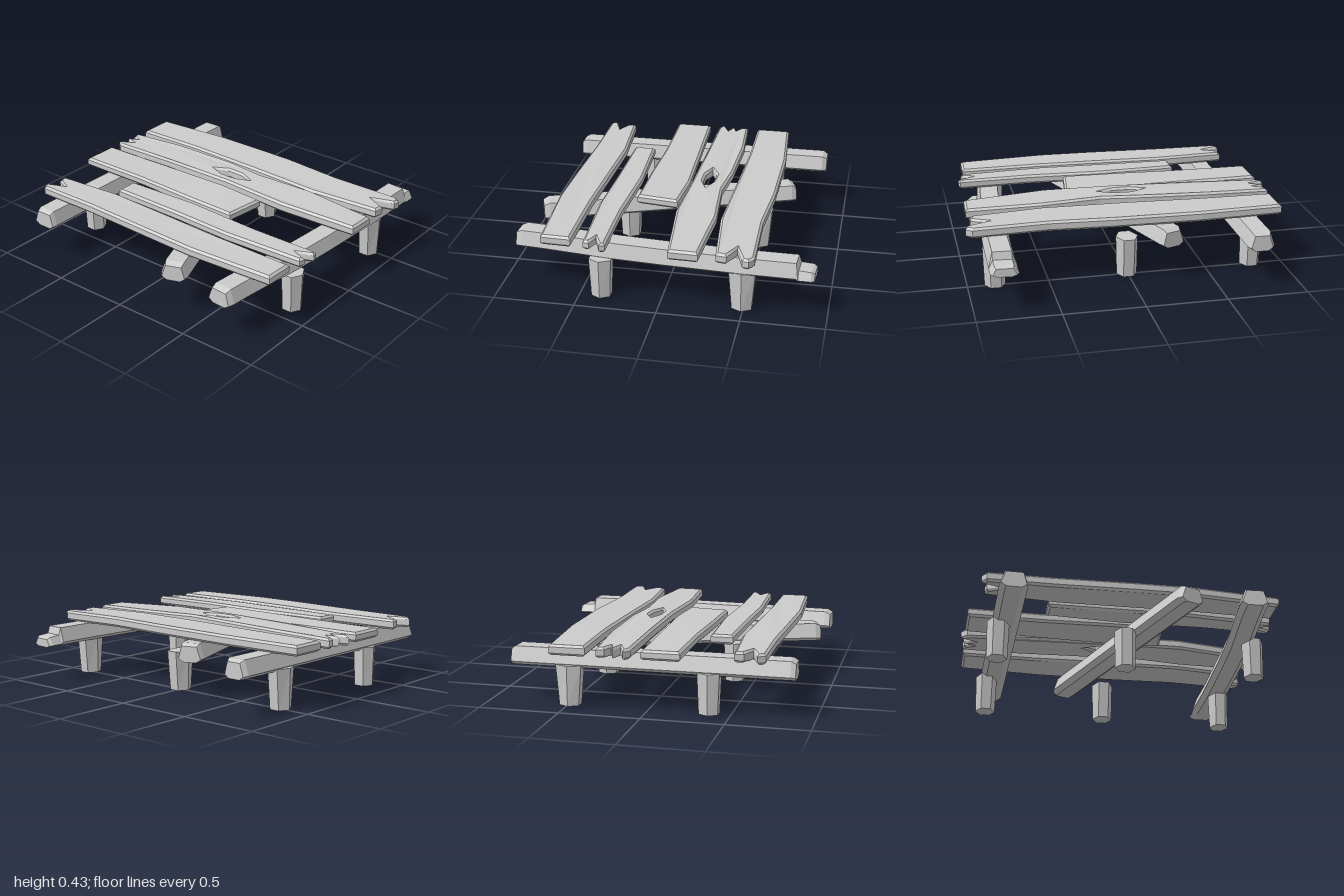
import * as THREE from 'three';

const material = new THREE.MeshStandardMaterial({ color: 0xcccccc, flatShading: true, side: THREE.DoubleSide });

// Plank: outline of [x, z] points, extruded upward with worn edges and a slight bow
function plank(name, outline, base, height, bow, hole) {
  const shape = new THREE.Shape(outline.map(([x, z]) => new THREE.Vector2(x, -z)));
  if (hole) shape.holes.push(new THREE.Path(hole.map(([x, z]) => new THREE.Vector2(x, -z))));
  const b = 0.014;
  const geo = new THREE.ExtrudeGeometry(shape, {
    depth: height - 2 * b, bevelEnabled: true, bevelThickness: b, bevelSize: b, bevelOffset: -b, bevelSegments: 1,
  });
  geo.rotateX(-Math.PI / 2).translate(0, base + b, 0);
  const p = geo.attributes.position;
  for (let i = 0; i < p.count; i++) {
    p.setY(i, p.getY(i) + bow * Math.cos(p.getX(i) * Math.PI / 2));
  }
  geo.computeVertexNormals();
  const mesh = new THREE.Mesh(geo, material);
  mesh.name = name;
  return mesh;
}

// Beam: chamfered section swept through rings of [x, z, width scale, height scale], back to front
const section = [[-0.05, 0], [0.05, 0], [0.085, 0.025], [0.06, 0.115], [-0.055, 0.115], [-0.085, 0.025]];
function beam(name, rings) {
  const first = rings[0], last = rings[rings.length - 1], n = section.length;
  const dir = new THREE.Vector2(last[0] - first[0], last[1] - first[1]).normalize();
  const pos = [], index = [];
  rings.forEach(([x, z, w = 1, h = 1], r) => {
    section.forEach(([u, v], i) => {
      pos.push(x + dir.y * u * w, 0.23 + v * h, z - dir.x * u * w);
      if (r === 0) return;
      const a = (r - 1) * n + i, a2 = (r - 1) * n + (i + 1) % n;
      index.push(a, a2, a2 + n, a, a2 + n, a + n);
    });
  });
  const end = (rings.length - 1) * n;
  for (let i = 1; i < n - 1; i++) index.push(0, i + 1, i, end, end + i, end + i + 1);
  const geo = new THREE.BufferGeometry();
  geo.setAttribute('position', new THREE.Float32BufferAttribute(pos, 3));
  geo.setIndex(index);
  geo.computeVertexNormals();
  const mesh = new THREE.Mesh(geo, material);
  mesh.name = name;
  return mesh;
}

// Leg: six-sided post, a little wider at the top
function leg(name, x, z, topDepth, bottomDepth) {
  const geo = new THREE.CylinderGeometry(1, 0.92, 0.25, 6, 1);
  geo.rotateY(Math.PI / 6 + Math.PI / 3);
  geo.translate(0, 0.125, 0);
  const p = geo.attributes.position;
  for (let i = 0; i < p.count; i++) {
    const top = p.getY(i) > 0.1;
    p.setX(i, p.getX(i) * 0.07);
    p.setZ(i, p.getZ(i) * (top ? topDepth : bottomDepth) / 1.73);
  }
  geo.computeVertexNormals();
  const mesh = new THREE.Mesh(geo, material);
  mesh.position.set(x, 0, z);
  mesh.name = name;
  return mesh;
}

export function createModel() {
  const model = new THREE.Group();
  model.name = 'plankPlatform';

  // Deck planks from back to front, with split ends
  model.add(
    plank('backPlank', [[-0.97, -0.34], [-0.5, -0.345], [0, -0.325], [0.5, -0.305], [0.95, -0.345], [0.96, -0.41],
      [0.85, -0.46], [0.99, -0.505], [1, -0.545], [0.96, -0.575], [0.5, -0.565], [0.1, -0.595], [-0.45, -0.6],
      [-0.97, -0.565]], 0.34, 0.065, 0.008),
    plank('knotPlank', [[-0.96, -0.065], [-0.5, -0.055], [0, -0.045], [0.45, -0.02], [0.965, -0.065], [0.97, -0.245],
      [0.5, -0.28], [0.12, -0.255], [-0.15, -0.285], [-0.6, -0.295], [-0.98, -0.27], [-0.97, -0.22], [-0.91, -0.195],
      [-0.98, -0.17], [-0.9, -0.14], [-1, -0.1]], 0.34, 0.065, 0.025,
      [[-0.18, -0.145], [-0.09, -0.185], [0.02, -0.18], [0.11, -0.145], [0.02, -0.115], [-0.09, -0.115]]),
    plank('shortLeftPlank', [[-0.98, 0.235], [-0.5, 0.235], [-0.1, 0.255], [0.27, 0.265], [0.305, 0],
      [0, -0.025], [-0.4, -0.015], [-0.98, 0]], 0.345, 0.06, 0.002),
    plank('shortRightPlank', [[-0.495, 0.45], [0, 0.46], [0.4, 0.475], [0.93, 0.45], [0.94, 0.41], [0.86, 0.385],
      [0.96, 0.345], [0.95, 0.31], [0.5, 0.315], [0, 0.29], [-0.495, 0.31]], 0.345, 0.06, 0.004),
    plank('frontPlank', [[-0.9, 0.72], [-0.5, 0.72], [0, 0.74], [0.35, 0.75], [0.91, 0.715], [0.915, 0.53],
      [0.4, 0.53], [0, 0.515], [-0.45, 0.5], [-0.9, 0.535], [-0.89, 0.59], [-0.8, 0.63], [-0.93, 0.675]],
      0.34, 0.065, 0.005),
  );

  // Supporting beams
  model.add(
    beam('leftBeam', [[-0.75, -0.86, 0.8, 0.85], [-0.75, -0.83], [-0.75, 0.85], [-0.75, 0.88, 0.9, 0.85]]),
    beam('middleBeam', [[-0.245, -0.68, 0.85, 0.85], [-0.235, -0.65], [0.305, 0.835], [0.32, 0.87, 0.85, 0.85]]),
    beam('rightBeam', [[0.815, -0.92, 0.85, 0.45], [0.815, -0.9, 1, 0.55], [0.815, -0.825, 1, 0.6], [0.815, -0.81],
      [0.81, -0.5], [0.785, 0], [0.765, 0.28], [0.71, 0.75], [0.7, 0.875], [0.695, 0.91, 0.9, 0.85]]),
  );

  // Three pairs of legs
  [['left', -0.795], ['middle', 0.005], ['right', 0.83]].forEach(([side, x]) => {
    model.add(leg(side + 'FrontLeg', x, 0.368, 0.135, 0.125), leg(side + 'BackLeg', x, -0.49, 0.16, 0.13));
  });
  return model;
}
